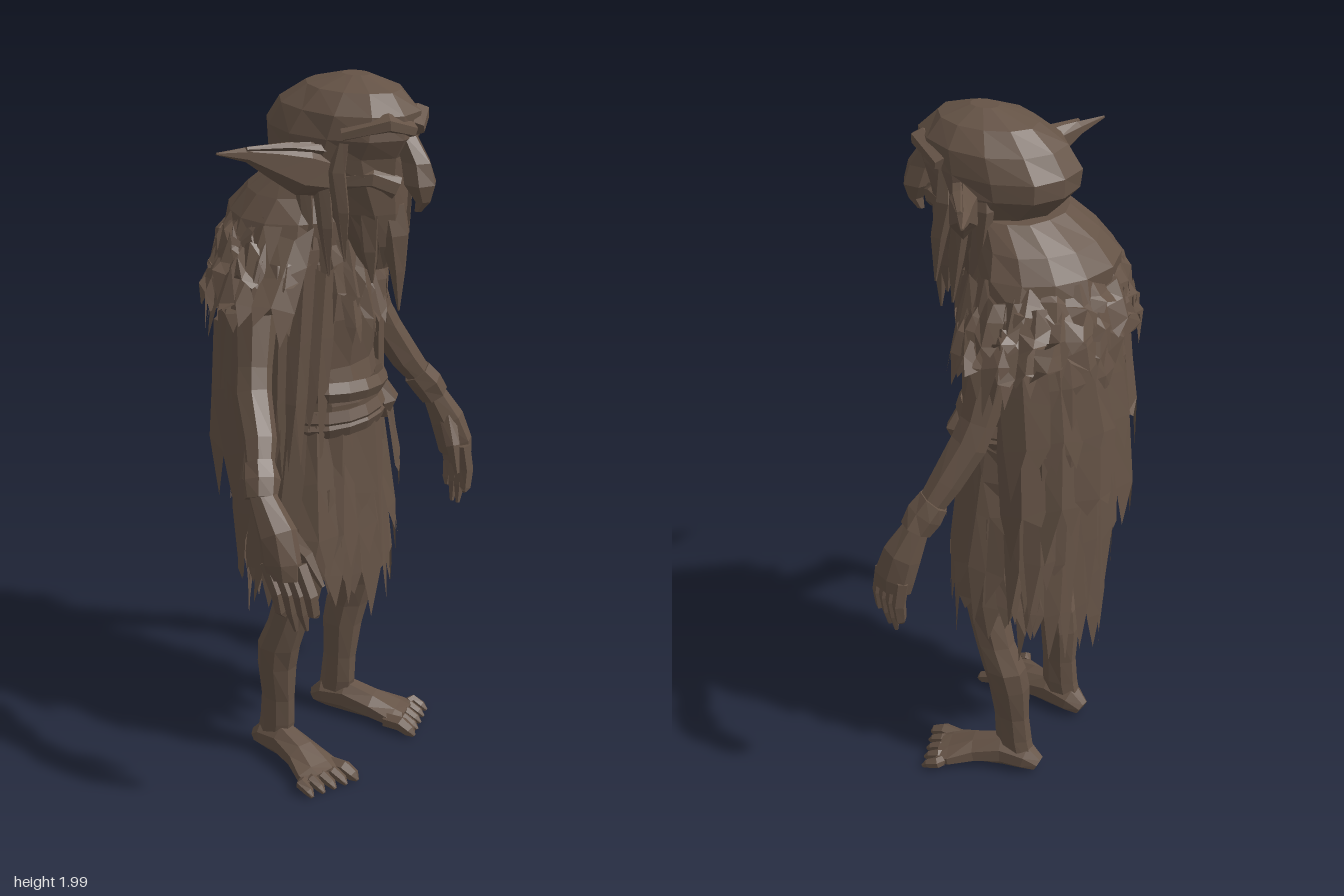
import * as THREE from 'three';
import { mergeGeometries } from 'three/addons/utils/BufferGeometryUtils.js';

const brown = new THREE.MeshStandardMaterial({ color: 0x655346, side: THREE.DoubleSide });
brown.name = 'earthBrown';

let seed = 7;
const rnd = () => (seed = (seed * 16807) % 2147483647) / 2147483647;
const jit = (k) => (rnd() - 0.5) * 2 * k;

// faceted geometry from a list of triangle corners
function facets(points) {
  const g = new THREE.BufferGeometry().setFromPoints(points);
  g.computeVertexNormals();
  return g;
}

// skin over sections [x, y, z, ru, rv]; rings follow the path unless an axis is given
function loft(sections, n = 7, { axis = null, ref = [0, 0, 1], rough = 0 } = {}) {
  const c = sections.map((s) => new THREE.Vector3(s[0], s[1], s[2]));
  const up = new THREE.Vector3(...ref), pts = [];
  const rings = sections.map((s, i) => {
    const d = axis ? new THREE.Vector3(...axis)
      : c[Math.min(i + 1, c.length - 1)].clone().sub(c[Math.max(i - 1, 0)]).normalize();
    const u = d.clone().cross(up).normalize(), v = u.clone().cross(d);
    return Array.from({ length: n }, (_, k) => {
      const a = ((k + 0.5) / n) * Math.PI * 2, r = 1 + jit(rough);
      return c[i].clone().addScaledVector(u, Math.cos(a) * s[3] * r).addScaledVector(v, Math.sin(a) * s[4] * r);
    });
  });
  for (let k = 0; k < n; k++) {
    const m = (k + 1) % n, last = rings.length - 1;
    for (let i = 0; i < last; i++) {
      const [a, b, e, f] = [rings[i][k], rings[i + 1][k], rings[i + 1][m], rings[i][m]];
      pts.push(a, b, e, a, e, f);
    }
    pts.push(c[0], rings[0][k], rings[0][m], c[last], rings[last][m], rings[last][k]);
  }
  return facets(pts);
}

// n folded cloth panels, each torn into two points, hung round an ellipse; angle 0 is the front
function rags(n, mid, half, top, tip, { cz = -0.05, width = 1.25, ragged = 0.06, fold = 0.012 } = {}) {
  const pts = [], step = (half * 2) / n;
  const at = (a, rx, rz, y) => new THREE.Vector3(Math.sin(a) * rx, y, cz + Math.cos(a) * rz);
  for (let i = 0; i < n; i++) {
    const a = mid - half + step * (i + 0.5) + jit(step * 0.2);
    const lean = jit(step * 0.35), lift = 1 + jit(0.04), hw = step * width * 0.5;
    const drop = [jit(ragged), jit(ragged)];
    const hang = (t, side, out, dy) => at(a + lean * t + hw * side,
      THREE.MathUtils.lerp(top[0], tip[0], t) * lift + out, THREE.MathUtils.lerp(top[1], tip[1], t) * lift + out,
      THREE.MathUtils.lerp(top[2], tip[2], t) + dy);
    const rows = [[0, 1], [0.4, 1.08], [0.74, 0.92]].map(([t, w]) =>
      [-1, 0, 1].map((s) => hang(t, s * w, s ? 0 : fold, jit(0.02))));
    for (let k = 0; k < 2; k++) {
      for (let r = 0; r < 2; r++) {
        const [p, q, s, t] = [rows[r][k], rows[r][k + 1], rows[r + 1][k + 1], rows[r + 1][k]];
        pts.push(p, t, s, p, s, q);
      }
      pts.push(rows[2][k], hang(1, k - 0.5 + jit(0.2), 0, drop[k]), rows[2][k + 1]);
    }
  }
  return facets(pts);
}

export function createModel() {
  const model = new THREE.Group();
  const add = (name, ...geos) => {
    const mesh = new THREE.Mesh(geos.length > 1 ? mergeGeometries(geos) : geos[0], brown);
    mesh.name = name;
    model.add(mesh);
    return mesh;
  };
  const Y = { axis: [0, 1, 0], rough: 0.03 }, PI = Math.PI;

  // torso, skirt lining, cowl and cape lining
  add('torso', loft([[0, 1.02, -0.01, 0.16, 0.14], [0, 1.12, 0, 0.155, 0.135], [0, 1.22, -0.03, 0.165, 0.14],
    [0, 1.36, -0.05, 0.18, 0.18], [0, 1.52, -0.06, 0.19, 0.18], [0, 1.64, -0.04, 0.13, 0.13]], 12, Y));
  add('skirtLining', loft([[0, 0.7, -0.035, 0.205, 0.155], [0, 0.85, -0.03, 0.2, 0.155], [0, 1.1, -0.01, 0.165, 0.14]], 14, Y));
  add('cowl', loft([[0, 1.48, -0.085, 0.25, 0.195], [0, 1.56, -0.085, 0.24, 0.195], [0, 1.63, -0.085, 0.215, 0.185],
    [0, 1.69, -0.065, 0.18, 0.155], [0, 1.75, -0.015, 0.135, 0.125]], 14, { ...Y, rough: 0.05 }));
  add('capeLining', loft([[0, 0.95, -0.16, 0.22, 0.1], [0, 1.15, -0.16, 0.225, 0.125], [0, 1.35, -0.15, 0.24, 0.145],
    [0, 1.52, -0.13, 0.23, 0.14]], 12, { ...Y, rough: 0.05 }));

  // layered rags
  add('shaggyMantle',
    rags(17, PI, 2.3, [0.23, 0.18, 1.58], [0.305, 0.235, 1.46], { cz: -0.08, fold: 0.018 }),
    rags(15, PI, 2.2, [0.25, 0.2, 1.52], [0.325, 0.23, 1.39], { cz: -0.08, fold: 0.018 }),
    rags(13, PI, 1.9, [0.2, 0.17, 1.63], [0.265, 0.225, 1.53], { cz: -0.08, ragged: 0.03 }));
  for (const s of [-1, 1]) {
    const side = s > 0 ? 'left' : 'right';
    add(side + 'ShoulderDrape',
      rags(4, s * 1.6, 0.75, [0.21, 0.17, 1.61], [0.35, 0.2, 1.37], { cz: -0.06, width: 1.4 }));
    add(side + 'VestEdge',
      rags(3, s * 1.0, 0.4, [0.2, 0.18, 1.52], [0.235, 0.165, 1.02], { ragged: 0.1 }));
    add(side + 'HipFlap', rags(1, s * 1.85, 0.45, [0.22, 0.16, 1.12], [0.27, 0.17, 0.87], { ragged: 0.02 }));
  }
  add('backCape',
    rags(7, PI, 1.5, [0.25, 0.2, 1.5], [0.27, 0.25, 1.08], { cz: -0.07, ragged: 0.1 }),
    rags(6, PI, 1.4, [0.245, 0.21, 1.32], [0.265, 0.245, 0.86], { cz: -0.07, ragged: 0.09, fold: 0.02 }),
    rags(8, PI, 1.4, [0.24, 0.2, 1.1], [0.25, 0.205, 0.68], { cz: -0.055, ragged: 0.1 }));
  add('skirtRags',
    rags(13, 0, PI, [0.165, 0.14, 1.1], [0.25, 0.19, 0.62], { cz: -0.02, ragged: 0.07 }),
    rags(14, 0, PI, [0.2, 0.155, 0.88], [0.245, 0.185, 0.54], { cz: -0.025, ragged: 0.07 }),
    rags(6, PI, 1.1, [0.22, 0.18, 0.9], [0.225, 0.19, 0.49], { ragged: 0.07 }),
    rags(1, PI, 0.22, [0.2, 0.19, 0.85], [0.2, 0.19, 0.39], { ragged: 0.03 }));
  add('apron',
    rags(1, 0, 0.42, [0.17, 0.15, 1.08], [0.19, 0.18, 0.49], { cz: -0.01, width: 1, ragged: 0.04 }),
    rags(2, 0, 0.85, [0.17, 0.145, 1.08], [0.2, 0.17, 0.55], { cz: -0.01, width: 1, ragged: 0.05 }));
  add('chestRags',
    rags(6, 0, 0.9, [0.17, 0.17, 1.58], [0.17, 0.21, 1.4], { cz: -0.04, ragged: 0.06 }),
    rags(4, 0, 0.5, [0.15, 0.16, 1.48], [0.15, 0.215, 1.32], { cz: -0.04, ragged: 0.04 }));

  // wrapped belt with a knot
  [[1.1, 0.1, 0.06], [1.15, -0.07, -0.05], [1.06, 0.05, -0.08]].forEach(([y, roll, pitch], i) => {
    const g = new THREE.TorusGeometry(0.155, 0.021, 5, 18).rotateX(PI / 2).scale(1, 1.4, 0.92).toNonIndexed();
    g.computeVertexNormals();
    const b = add('beltWrap' + (i + 1), g);
    b.position.y = y;
    b.rotation.set(pitch, 0, roll);
  });
  add('beltKnot', loft([[0.09, 1.04, 0.12, 0.02, 0.02], [0.09, 1.09, 0.135, 0.04, 0.03], [0.08, 1.14, 0.12, 0.02, 0.02]], 6));
  add('beltTails', rags(2, 0.65, 0.2, [0.17, 0.155, 1.08], [0.21, 0.19, 0.85], { cz: 0 }));

  // head
  add('head', loft([[0, 1.5, 0.15, 0.04, 0.04], [0, 1.57, 0.14, 0.07, 0.085], [0, 1.66, 0.11, 0.105, 0.13],
    [0, 1.75, 0.065, 0.14, 0.175], [0, 1.81, 0.04, 0.155, 0.205], [0, 1.86, 0.05, 0.155, 0.22],
    [0, 1.92, 0.068, 0.14, 0.2], [0, 1.97, 0.08, 0.095, 0.14], [0, 2.0, 0.09, 0.03, 0.04]], 12, { ...Y, rough: 0.03 }));
  add('nose', loft([[0, 1.87, 0.24, 0.03, 0.03], [0, 1.8, 0.275, 0.035, 0.045], [0, 1.745, 0.29, 0.045, 0.045],
    [0, 1.7, 0.3, 0.022, 0.022], [0, 1.67, 0.285, 0.01, 0.01]], 6, { axis: [0, -1, 0] }));
  add('beard',
    loft([[0, 1.39, 0.23, 0.003, 0.003], [0, 1.5, 0.225, 0.025, 0.02], [0, 1.6, 0.21, 0.045, 0.045], [0, 1.68, 0.19, 0.05, 0.05]], 6, Y),
    ...[-1, 1].map((s) => loft([[s * 0.05, 1.47, 0.18, 0.003, 0.003], [s * 0.055, 1.56, 0.175, 0.025, 0.025],
      [s * 0.06, 1.66, 0.17, 0.03, 0.04]], 5, Y)));

  for (const s of [-1, 1]) {
    const side = s > 0 ? 'left' : 'right';
    const R = { ref: [0, 1, 0] };
    // brow, eye, cheek, ear and hair
    add(side + 'Brow', loft([[s * 0.005, 1.88, 0.265, 0.03, 0.02], [s * 0.065, 1.905, 0.235, 0.035, 0.025],
      [s * 0.13, 1.875, 0.14, 0.025, 0.018]], 6, R));
    const eye = add(side + 'Eye', new THREE.IcosahedronGeometry(0.018, 0));
    eye.position.set(s * 0.06, 1.83, 0.215);
    add(side + 'Cheek', loft([[s * 0.03, 1.73, 0.24, 0.015, 0.03], [s * 0.075, 1.76, 0.195, 0.025, 0.03],
      [s * 0.13, 1.75, 0.11, 0.015, 0.025]], 6, R));
    add(side + 'Ear',
      loft([[s * 0.12, 1.765, 0.085, 0.045, 0.06], [s * 0.18, 1.785, 0.055, 0.04, 0.07], [s * 0.25, 1.815, 0.015, 0.028, 0.045],
        [s * 0.31, 1.838, -0.02, 0.018, 0.02], [s * 0.385, 1.85, -0.058, 0.004, 0.003]], 6, R),
      loft([[s * 0.14, 1.83, 0.09, 0.018, 0.015], [s * 0.22, 1.85, 0.045, 0.018, 0.012], [s * 0.32, 1.855, -0.015, 0.008, 0.006]], 5, R));
    add(side + 'Hair', ...[[0.1, 1.5], [0.04, 1.47], [0.15, 1.55]].map(([z, y]) =>
      loft([[s * 0.145, y, z + 0.01, 0.003, 0.003], [s * 0.145, y + 0.13, z, 0.014, 0.025],
        [s * 0.14, 1.78, z - 0.02, 0.018, 0.03], [s * 0.12, 1.88, z - 0.01, 0.01, 0.02]], 5, Y)));

    // arm, reaching a little further forward on the right
    const f = s > 0 ? 0 : 1, zf = [0, 0.01, 0.03, 0.07, 0.1];
    const p = (x, y, z, k) => [s * x, y, z + zf[k] * f];
    add(side + 'Arm', loft([[...p(0.19, 1.52, -0.07, 0), 0.06, 0.06], [...p(0.235, 1.4, -0.06, 0), 0.055, 0.06],
      [...p(0.285, 1.26, -0.04, 1), 0.045, 0.05], [...p(0.31, 1.2, -0.025, 1), 0.045, 0.052],
      [...p(0.36, 1.1, 0.015, 2), 0.044, 0.045], [...p(0.42, 1.0, 0.06, 2), 0.03, 0.033]], 7));
    add(side + 'WristWrap', loft([[...p(0.39, 1.05, 0.035, 2), 0.043, 0.045], [...p(0.41, 1.015, 0.055, 2), 0.048, 0.05],
      [...p(0.43, 0.975, 0.07, 2), 0.043, 0.043]], 7, { rough: 0.08 }));
    add(side + 'Palm', loft([[...p(0.425, 0.99, 0.065, 2), 0.033, 0.035], [...p(0.452, 0.9, 0.1, 3), 0.046, 0.055],
      [...p(0.465, 0.83, 0.12, 3), 0.04, 0.06], [...p(0.468, 0.79, 0.125, 3), 0.032, 0.055]], 7));
    add(side + 'Fingers',
      ...[0, 1, 2, 3].map((k) => {
        const x = 0.485 - k * 0.011, z = 0.085 + k * 0.027, y = 0.68 - [0, 0.04, 0.035, -0.01][k];
        return loft([[...p(x - 0.005, 0.83, z, 3), 0.022, 0.02], [...p(x, 0.755, z + 0.01, 4), 0.021, 0.019],
          [...p(x - 0.01, 0.7, z + 0.012, 4), 0.018, 0.016], [...p(x - 0.022, y, z + 0.015, 4), 0.006, 0.006]], 5);
      }),
      loft([[...p(0.435, 0.91, 0.115, 3), 0.026, 0.026], [...p(0.405, 0.84, 0.155, 3), 0.021, 0.021],
        [...p(0.4, 0.76, 0.175, 4), 0.007, 0.007]], 5));

    // leg, foot and toes
    add(side + 'Leg', loft([[s * 0.15, 0.04, -0.085, 0.035, 0.055], [s * 0.15, 0.12, -0.07, 0.037, 0.055],
      [s * 0.152, 0.2, -0.066, 0.038, 0.052], [s * 0.16, 0.31, -0.062, 0.052, 0.06], [s * 0.167, 0.38, -0.05, 0.055, 0.064],
      [s * 0.165, 0.46, -0.02, 0.05, 0.058], [s * 0.155, 0.56, 0.01, 0.055, 0.062], [s * 0.13, 0.8, 0.01, 0.07, 0.08]], 8, Y));
    add(side + 'Foot', loft([[s * 0.143, 0.035, -0.148, 0.025, 0.025], [s * 0.147, 0.055, -0.11, 0.042, 0.045],
      [s * 0.157, 0.063, -0.04, 0.045, 0.053], [s * 0.175, 0.05, 0.04, 0.055, 0.042],
      [s * 0.198, 0.035, 0.11, 0.075, 0.027], [s * 0.205, 0.03, 0.14, 0.07, 0.022]], 8, R));
    add(side + 'Toes', ...[0, 1, 2, 3, 4].map((k) => {
      const x = 0.145 + k * 0.03, z = 0.21 - k * 0.013, r = k ? 0.017 : 0.023;
      return loft([[s * x, 0.032, 0.11, r, r], [s * (x + 0.004 * k), 0.036, z - 0.045, r, r],
        [s * (x + 0.005 * k), 0.024, z - 0.015, r * 0.85, r * 0.8], [s * (x + 0.006 * k), 0.012, z, 0.005, 0.006]], 6, R);
    }));
  }
  return model;
}
